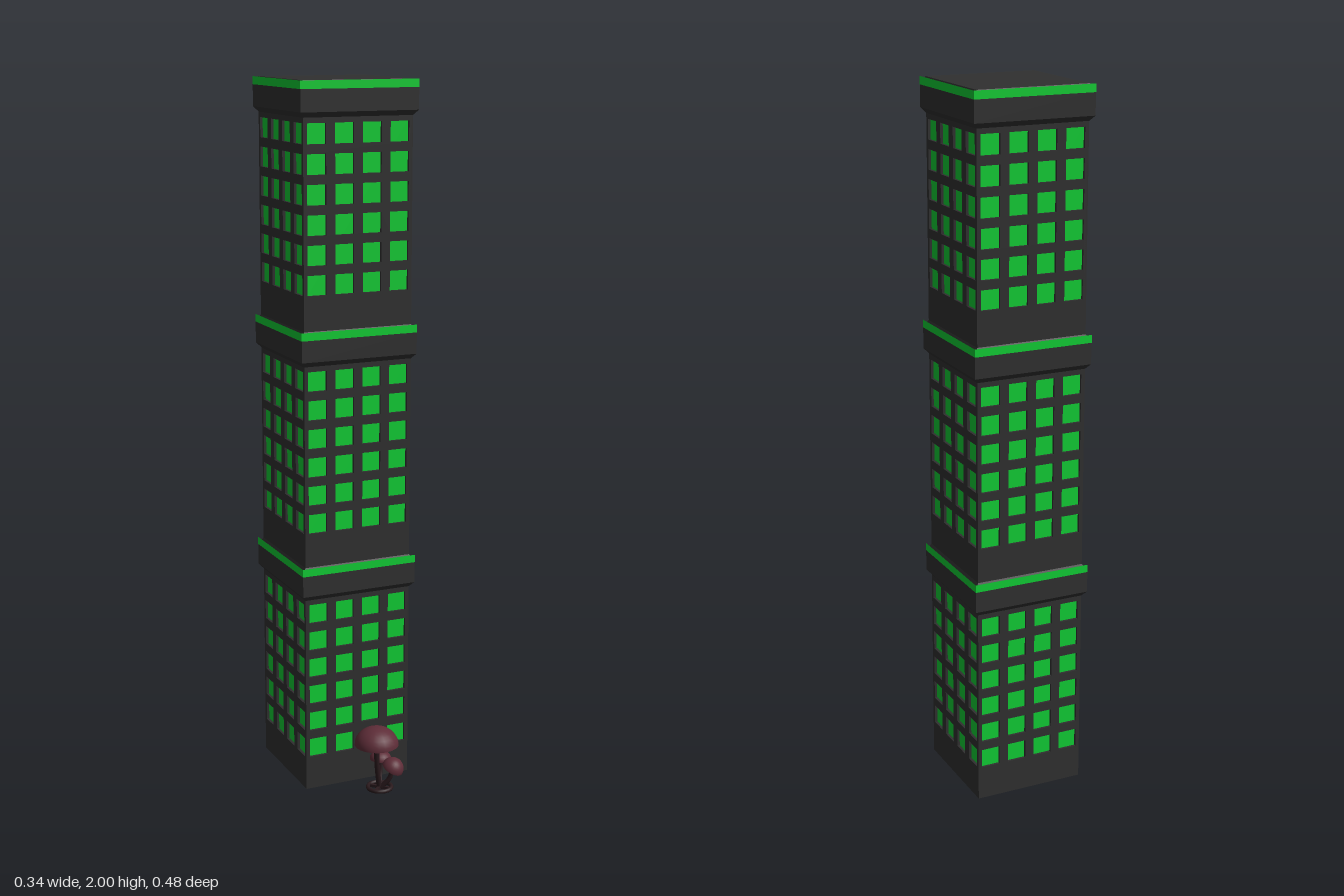
import * as THREE from 'three';

const concrete = new THREE.MeshStandardMaterial({ color: 0x303030 });
concrete.name = 'dark concrete';
const green = new THREE.MeshStandardMaterial({ color: 0x11cf35 });
green.name = 'glowing green';
const capRed = new THREE.MeshStandardMaterial({ color: 0x5e2d38 });
capRed.name = 'mushroom maroon';
const stemDark = new THREE.MeshStandardMaterial({ color: 0x2a1a1d });
stemDark.name = 'dark stem';

const HALF = 0.16, CROWN = 0.172, DEPTH = 0.008, STOREY = 0.665;

function add(parent, name, geometry, material, x = 0, y = 0, z = 0) {
  const mesh = new THREE.Mesh(geometry, material);
  mesh.name = name;
  mesh.position.set(x, y, z);
  parent.add(mesh);
  return mesh;
}

// square block with different half widths at bottom and top
function frustum(bottom, top, y0, y1) {
  let g = new THREE.CylinderGeometry(top * Math.SQRT2, bottom * Math.SQRT2, y1 - y0, 4);
  g.rotateY(Math.PI / 4);
  g = g.toNonIndexed();
  g.computeVertexNormals();
  return g.translate(0, (y0 + y1) / 2, 0);
}

function rectangle(target, x0, y0, x1, y1) {
  target.moveTo(x0, y0);
  target.lineTo(x1, y0);
  target.lineTo(x1, y1);
  target.lineTo(x0, y1);
  target.closePath();
  return target;
}

// wall slab pierced by 4 x 6 windows; heights are measured from the section top
function wallGeometry() {
  const wall = rectangle(new THREE.Shape(), -HALF, -STOREY, HALF, -0.09);
  for (let row = 0; row < 6; row++) {
    for (let col = 0; col < 4; col++) {
      const x = (col - 1.5) * 0.081, y = -0.138 - row * 0.0805, h = 0.0275;
      wall.holes.push(rectangle(new THREE.Path(), x - h, y - h, x + h, y + h));
    }
  }
  return new THREE.ExtrudeGeometry(wall, { depth: DEPTH, bevelEnabled: false });
}

function buildSection(wallGeo) {
  const section = new THREE.Group();
  const inner = HALF - DEPTH;
  add(section, 'core', frustum(inner - 0.001, inner - 0.001, -STOREY, -0.09), concrete);

  // bevelled crown
  add(section, 'crownFlare', frustum(HALF, CROWN, -0.096, -0.082), concrete);
  add(section, 'crownBand', frustum(CROWN, CROWN, -0.082, -0.02), concrete);
  add(section, 'crownSlope', frustum(CROWN, CROWN - 0.012, -0.02, 0), concrete);

  // four identical sides
  for (let i = 0; i < 4; i++) {
    const side = new THREE.Group();
    side.name = 'side';
    side.rotation.y = i * Math.PI / 2;
    add(side, 'wall', wallGeo, concrete, 0, 0, inner);
    add(side, 'windowPanes', new THREE.PlaneGeometry(0.3, 0.47), green, 0, -0.339, inner + 0.0005);
    add(side, 'crownTrim', new THREE.PlaneGeometry(2 * CROWN + 0.001, 0.022), green, 0, -0.011, CROWN + 0.0005);
    section.add(side);
  }
  return section;
}

// domed cap with a flat underside, on a curved stem
function buildMushroom(name, root, head, radius, height, stemRadius, tiltX, tiltZ) {
  const group = new THREE.Group();
  group.name = name;
  const cap = new THREE.Group();
  cap.name = 'cap';
  const dome = new THREE.SphereGeometry(1, 20, 8, 0, Math.PI * 2, 0, Math.PI / 2);
  dome.scale(radius, height, radius);
  add(cap, 'dome', dome, capRed);
  add(cap, 'gills', new THREE.CircleGeometry(radius, 20).rotateX(Math.PI / 2), capRed);
  cap.position.set(...head);
  cap.rotation.set(tiltX, 0, tiltZ);
  group.add(cap);

  const a = new THREE.Vector3(...root), b = new THREE.Vector3(...head);
  const mid = a.clone().lerp(b, 0.5);
  mid.x += (b.x - a.x) * 0.25;
  mid.z += (b.z - a.z) * 0.25;
  const path = new THREE.CatmullRomCurve3([a, mid, b]);
  add(group, 'stem', new THREE.TubeGeometry(path, 10, stemRadius, 8), stemDark);
  return group;
}

export function createModel() {
  const model = new THREE.Group();
  model.name = 'tower with mushrooms';

  // three stacked tower sections
  const tower = new THREE.Group();
  tower.name = 'tower';
  tower.position.z = -0.07;
  const wallGeo = wallGeometry();
  for (let i = 0; i < 3; i++) {
    const section = buildSection(wallGeo);
    section.name = 'towerSection';
    section.position.y = 2 - i * STOREY;
    tower.add(section);
  }
  model.add(tower);

  // mushroom cluster by the front wall
  const cluster = new THREE.Group();
  cluster.name = 'mushroomCluster';
  cluster.add(
    buildMushroom('tallMushroom', [0.035, 0.008, 0.165], [0.02, 0.146, 0.177], 0.063, 0.052, 0.008, 0, 0),
    buildMushroom('backMushroom', [0.04, 0.008, 0.16], [0.05, 0.082, 0.14], 0.031, 0.024, 0.006, 0, 0),
    buildMushroom('sideMushroom', [0.04, 0.008, 0.17], [0.066, 0.068, 0.187], 0.032, 0.032, 0.007, 0.35, -0.35)
  );

  // ring of roots at the foot
  const ring = new THREE.TorusGeometry(0.034, 0.006, 8, 20).rotateX(Math.PI / 2);
  add(cluster, 'rootRing', ring, stemDark, 0.036, 0.007, 0.165);
  for (let i = 0; i < 2; i++) {
    const root = add(cluster, 'root', new THREE.BoxGeometry(0.068, 0.008, 0.008), stemDark, 0.036, 0.007, 0.165);
    root.rotation.y = Math.PI / 4 + i * Math.PI / 2;
  }
  model.add(cluster);
  return model;
}
